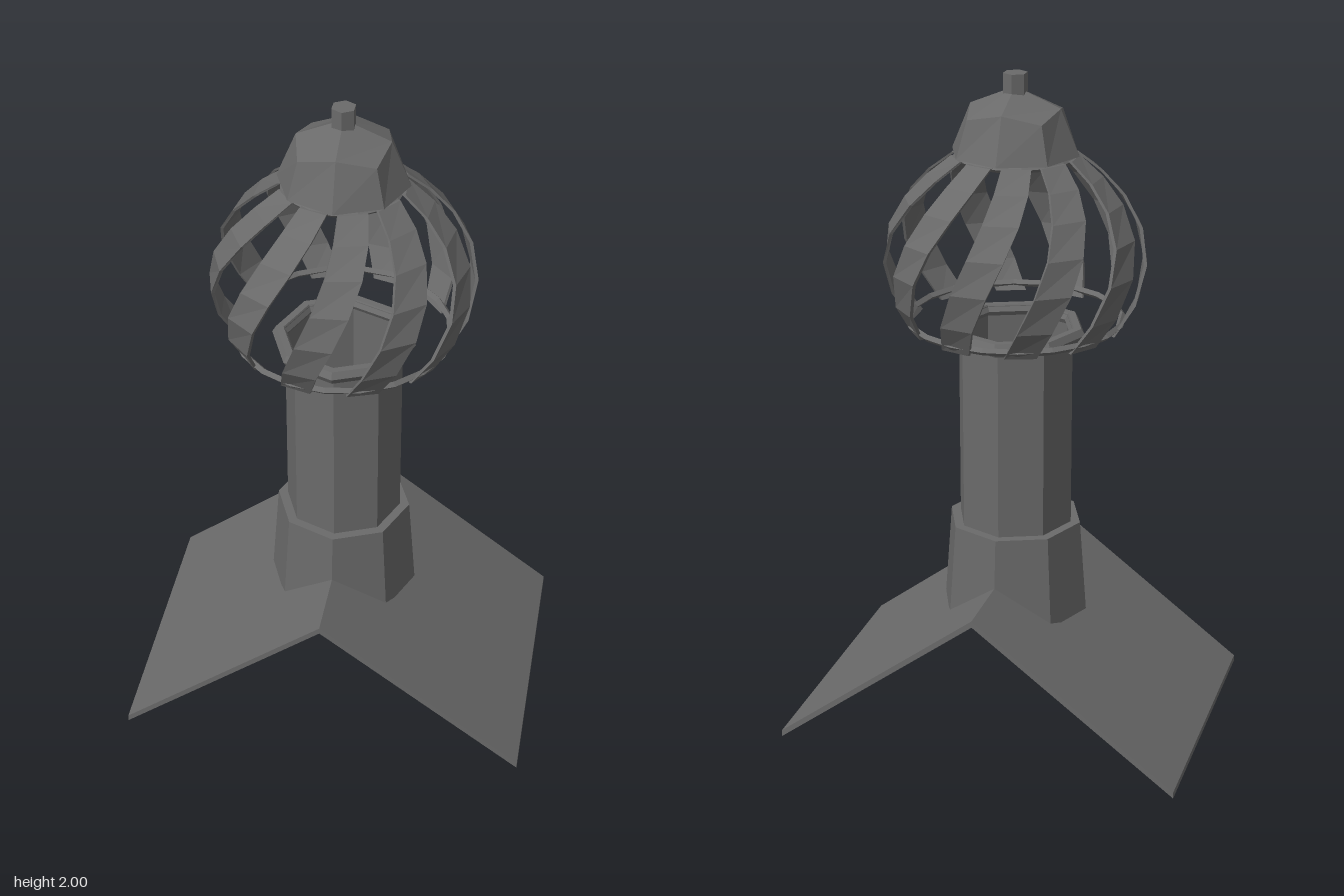
import * as THREE from 'three';

const material = new THREE.MeshStandardMaterial({ color: 0x6a6a6a, flatShading: true });
const thinMaterial = new THREE.MeshStandardMaterial({ color: 0x6a6a6a, flatShading: true, side: THREE.DoubleSide });

function addPart(group, name, geometry, y = 0, mat = material) {
  const mesh = new THREE.Mesh(geometry, mat);
  mesh.name = name;
  mesh.position.y = y;
  group.add(mesh);
  return mesh;
}

// Faceted horizontal ring
function ringGeometry(radius, tube, tubeSides, sides) {
  return new THREE.TorusGeometry(radius, tube, tubeSides, sides).rotateX(Math.PI / 2);
}

// Twisted vane: flat cross-sections swept along the bulb profile
function vaneGeometry() {
  // height, radius, half width
  const sections = [
    [1.252, 0.31, 0.046], [1.34, 0.36, 0.05], [1.45, 0.382, 0.053],
    [1.55, 0.365, 0.053], [1.64, 0.315, 0.052], [1.71, 0.25, 0.048], [1.765, 0.18, 0.042],
  ];
  const thickness = 0.01;
  const positions = [];
  const index = [];
  sections.forEach(([y, r, w]) => {
    const angle = THREE.MathUtils.degToRad(-16 + 34 * (y - 1.26) / 0.51);
    const s = Math.sin(angle), c = Math.cos(angle);
    for (const [side, depth] of [[-w, r], [w, r], [w, r - thickness], [-w, r - thickness]]) {
      positions.push(depth * s + side * c, y, depth * c - side * s);
    }
  });
  const last = (sections.length - 1) * 4;
  for (let i = 0; i < last; i += 4) {
    for (let k = 0; k < 4; k++) {
      const a = i + k, b = i + (k + 1) % 4;
      index.push(a, b, b + 4, a, b + 4, a + 4);
    }
  }
  index.push(0, 2, 1, 0, 3, 2, last, last + 1, last + 2, last, last + 2, last + 3);
  const geometry = new THREE.BufferGeometry();
  geometry.setAttribute('position', new THREE.Float32BufferAttribute(positions, 3));
  geometry.setIndex(index);
  geometry.computeVertexNormals();
  return geometry;
}

// Open half of a subdivided cube pushed out to a sphere
function domeGeometry(radius) {
  const geometry = new THREE.BoxGeometry(2, 1, 2, 2, 1, 2).translate(0, 0.5, 0);
  const p = geometry.attributes.position;
  const v = new THREE.Vector3();
  for (let i = 0; i < p.count; i++) {
    v.fromBufferAttribute(p, i).normalize().multiplyScalar(radius);
    p.setXYZ(i, v.x, v.y, v.z);
  }
  // Leave out the underside
  const { start, count } = geometry.groups[3];
  const index = Array.from(geometry.index.array);
  index.splice(start, count);
  geometry.setIndex(index);
  geometry.clearGroups();
  geometry.computeVertexNormals();
  return geometry;
}

export function createModel() {
  const model = new THREE.Group();
  model.name = 'roofVent';

  // Folded roof plate
  const chevron = new THREE.Shape([
    [-0.611, 0.02], [-0.611, 0], [0, 0.463], [0.611, 0], [0.611, 0.02], [0, 0.483],
  ].map(([x, y]) => new THREE.Vector2(x, y)));
  const roof = new THREE.ExtrudeGeometry(chevron, { depth: 0.874, bevelEnabled: false });
  addPart(model, 'roofPlate', roof.translate(0, 0, -0.437));

  // Octagonal open pipe with flared foot and collar
  addPart(model, 'foot', new THREE.CylinderGeometry(0.204, 0.226, 0.287, 8), 0.4905);
  addPart(model, 'pipe', new THREE.CylinderGeometry(0.175, 0.175, 0.65, 8, 1, true), 0.925, thinMaterial);
  addPart(model, 'collar', ringGeometry(0.19, 0.023, 6, 8), 1.234);

  // Turbine cage
  const cage = new THREE.Group();
  cage.name = 'turbineCage';
  model.add(cage);
  const vane = vaneGeometry();
  const vaneCount = 10;
  for (let i = 0; i < vaneCount; i++) {
    addPart(cage, 'vane', vane, 0, thinMaterial).rotation.y = i * 2 * Math.PI / vaneCount;
  }
  addPart(cage, 'lowerRing', ringGeometry(0.315, 0.011, 4, 20), 1.272);
  addPart(cage, 'upperRing', ringGeometry(0.17, 0.01, 4, 16), 1.762);

  // Faceted cap and spindle
  addPart(model, 'cap', domeGeometry(0.19), 1.77, thinMaterial);
  addPart(model, 'spindle', new THREE.CylinderGeometry(0.036, 0.036, 0.08, 6), 1.96);

  return model;
}
